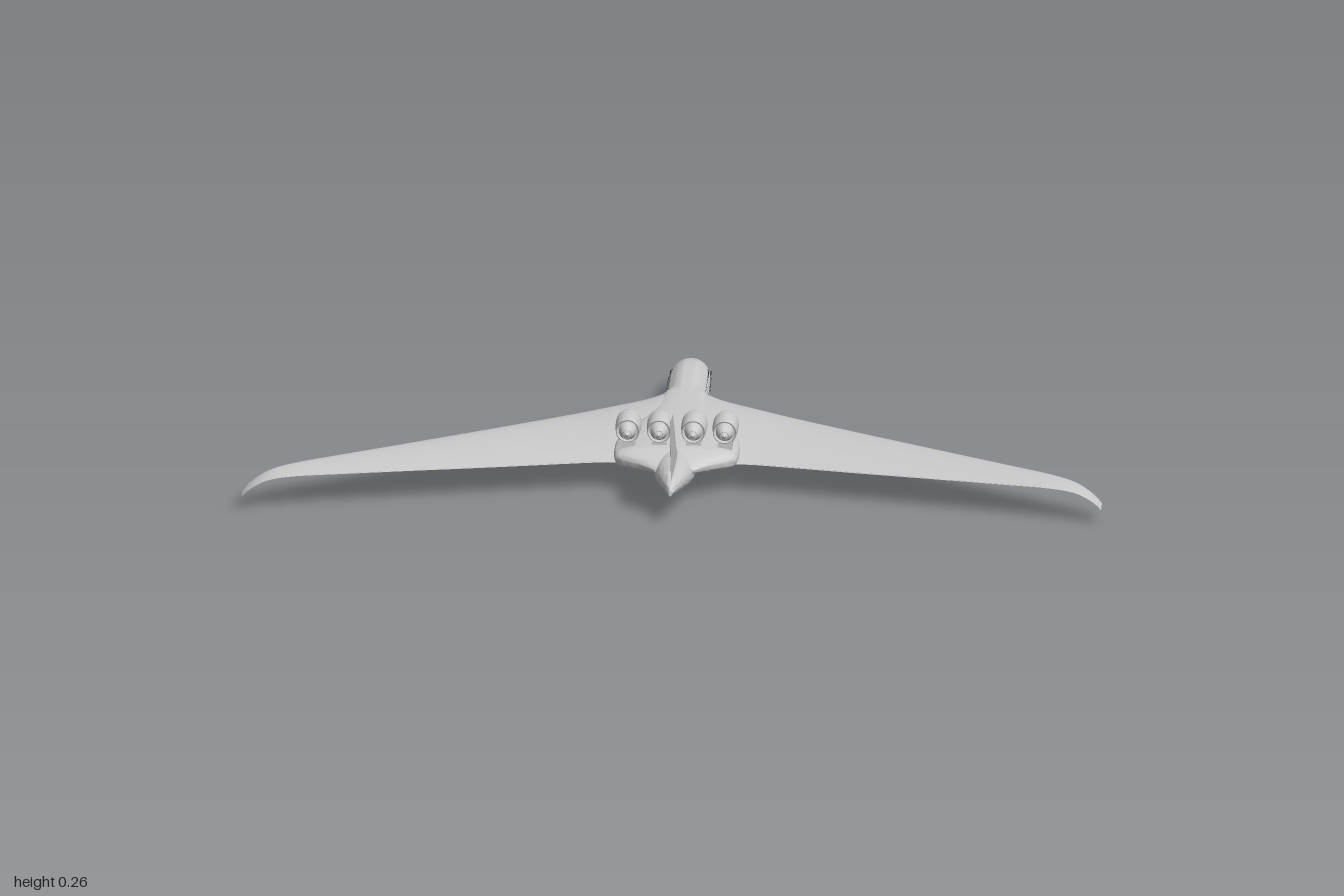
import * as THREE from 'three';
import { mergeGeometries, toCreasedNormals } from 'three/addons/utils/BufferGeometryUtils.js';

const grey = new THREE.MeshStandardMaterial({ color: 0xcccccc, side: THREE.DoubleSide });
const dark = new THREE.MeshStandardMaterial({ color: 0x222222, side: THREE.DoubleSide });

function part(name, geometry, material = grey) {
  const mesh = new THREE.Mesh(geometry, material);
  mesh.name = name;
  return mesh;
}

// Smoothly subdivide a table of stations (Catmull-Rom through every column)
function refine(table, n) {
  const out = [];
  const get = (i) => table[Math.max(0, Math.min(table.length - 1, i))];
  for (let i = 0; i < table.length - 1; i++) {
    for (let k = 0; k < n; k++) {
      const t = k / n;
      out.push(get(i).map((b, c) => {
        const a = get(i - 1)[c], d = get(i + 1)[c], e = get(i + 2)[c];
        return b + 0.5 * t * (d - a + t * (2 * a - 5 * b + 4 * d - e + t * (3 * (b - d) + e - a)));
      }));
    }
  }
  out.push(get(table.length - 1));
  return out;
}

// Skin closed rings of points, cap both ends and make the faces point outwards
function loft(rings, crease = 0.7) {
  const n = rings[0].length, pos = rings.flat(2), index = [];
  for (let i = 0; i < rings.length - 1; i++) {
    for (let j = 0; j < n; j++) {
      const a = i * n + j, b = i * n + (j + 1) % n;
      index.push(a, b, b + n, a, b + n, a + n);
    }
  }
  [0, rings.length - 1].forEach((r, end) => {
    const c = pos.length / 3;
    for (let k = 0; k < 3; k++) pos.push(rings[r].reduce((s, p) => s + p[k], 0) / n);
    for (let j = 0; j < n; j++) {
      const a = r * n + j, b = r * n + (j + 1) % n;
      index.push(...(end ? [a, b, c] : [b, a, c]));
    }
  });
  const v = (i) => new THREE.Vector3().fromArray(pos, index[i] * 3);
  let volume = 0;
  for (let i = 0; i < index.length; i += 3) volume += v(i).dot(v(i + 1).cross(v(i + 2)));
  if (volume < 0) index.reverse();
  const g = new THREE.BufferGeometry();
  g.setAttribute('position', new THREE.Float32BufferAttribute(pos, 3));
  g.setIndex(index);
  return toCreasedNormals(g, crease);
}

// Body from stations [z, half width, bottom, top] with superellipse sections
function body(table, power, segments = 36) {
  return loft(refine(table, 5).map(([z, w, y0, y1]) =>
    Array.from({ length: segments }, (_, i) => {
      const a = (i / segments) * Math.PI * 2, c = Math.cos(a), s = Math.sin(a);
      const x = Math.sign(c) * Math.abs(c) ** (2 / power);
      const y = Math.sign(s) * Math.abs(s) ** (2 / power);
      return [w * x, (y0 + y1) / 2 + ((y1 - y0) / 2) * y, z];
    })));
}

// Aerofoil outline as [chord fraction, offset], between chord fractions a and b
function aerofoil(thick, a = 0, b = 1, extra = 0, n = 14) {
  const half = (u) => extra + 5 * thick * (0.2969 * Math.sqrt(u) - 0.126 * u - 0.3516 * u * u
    + 0.2843 * u ** 3 - 0.1026 * u ** 4);
  const us = Array.from({ length: n + 1 }, (_, i) => a + (b - a) * (1 - Math.cos((i / n) * Math.PI)) / 2);
  const upper = us.map((u) => [u, half(u)]).reverse();
  const lower = us.slice(a === 0 ? 1 : 0).map((u) => [u, -half(u)]);
  return [...upper, ...lower];
}

// Wing stations: [x, leading z, trailing z, height, thickness]
const wingStations = refine([
  [0.03, -0.26, 0.27, 0.07, 0.056], [0.06, -0.212, 0.262, 0.07, 0.055],
  [0.1, -0.172, 0.258, 0.07, 0.052], [0.16, -0.134, 0.253, 0.07, 0.045],
  [0.25, -0.08, 0.268, 0.07, 0.034], [0.42, 0.028, 0.308, 0.072, 0.026],
  [0.6, 0.142, 0.35, 0.075, 0.018], [0.78, 0.256, 0.393, 0.078, 0.012],
  [0.88, 0.319, 0.417, 0.079, 0.009], [0.94, 0.357, 0.431, 0.073, 0.007],
  [0.98, 0.382, 0.44, 0.055, 0.005], [1, 0.397, 0.445, 0.038, 0.003],
], 4);

function wingPart(side, x0, x1, a, b, extra) {
  return loft(wingStations.filter((s) => s[0] >= x0 && s[0] <= x1).map(([x, le, te, y, t]) =>
    aerofoil(t, a, b, extra).map(([u, h]) => [side * x, y + h, le + (te - le) * u])));
}

// Fin stations: [height, leading z, trailing z, thickness]
function finPart(stations, a, b, extra) {
  return loft(stations.map(([y, le, te, t]) =>
    aerofoil(t, a, b, extra).map(([u, h]) => [h, y, le + (te - le) * u])));
}

function engine(name, x) {
  const g = new THREE.Group();
  g.name = name;
  g.position.set(x, 0.14, 0);
  const lathe = (pts) => new THREE.LatheGeometry(pts.map((p) => new THREE.Vector2(...p)), 28).rotateX(Math.PI / 2);
  // Hollow intake, outer cowl and rear lip
  g.add(part('nacelle', lathe([[0, 0.18], [0.024, 0.18], [0.0245, 0.163], [0.0265, 0.155], [0.028, 0.154],
    [0.029, 0.158], [0.03, 0.17], [0.03, 0.2], [0.0275, 0.231], [0.025, 0.231], [0.0225, 0.222], [0, 0.222]])));
  g.add(part('exhaustCone', lathe([[0.021, 0.22], [0.02, 0.233], [0.011, 0.257], [0.009, 0.255], [0, 0.262]])));
  g.add(part('spinner', lathe([[0, 0.163], [0.003, 0.166], [0.007, 0.18]])));
  const blades = Array.from({ length: 14 }, (_, i) =>
    new THREE.BoxGeometry(0.004, 0.018, 0.001).rotateY(0.6).translate(0, 0.014, 0.176)
      .rotateZ((i / 14) * Math.PI * 2));
  g.add(part('fanBlades', mergeGeometries(blades)));
  const pylon = part('pylon', new THREE.BoxGeometry(0.034, 0.022, 0.076));
  pylon.position.set(0, -0.037, 0.192);
  g.add(pylon);
  return g;
}

export function createModel() {
  const plane = new THREE.Group();
  plane.name = 'aircraft';

  plane.add(part('fuselage', body([
    [-0.499, 0.012, 0.032, 0.057], [-0.495, 0.023, 0.024, 0.066], [-0.48, 0.035, 0.015, 0.078],
    [-0.45, 0.044, 0.007, 0.089], [-0.4, 0.049, 0.002, 0.097], [-0.32, 0.05, 0, 0.1],
    [-0.1, 0.05, 0, 0.102], [0.05, 0.05, 0, 0.105], [0.165, 0.05, 0, 0.105],
    [0.25, 0.049, 0.016, 0.105], [0.33, 0.044, 0.033, 0.105], [0.4, 0.031, 0.05, 0.104],
    [0.46, 0.016, 0.064, 0.099], [0.5, 0.004, 0.073, 0.086],
  ], 2)));

  // Wide blended body that carries the engines
  plane.add(part('centreBody', body([
    [-0.26, 0.03, 0.055, 0.093], [-0.2, 0.054, 0.043, 0.099], [-0.1, 0.072, 0.04, 0.102],
    [0, 0.102, 0.04, 0.104], [0.12, 0.142, 0.04, 0.107], [0.235, 0.144, 0.048, 0.107],
    [0.265, 0.128, 0.053, 0.103], [0.3, 0.08, 0.061, 0.096], [0.335, 0.045, 0.069, 0.088],
  ], 2.8)));

  for (const side of [1, -1]) {
    const label = side > 0 ? 'left' : 'right';
    plane.add(part(`${label}Wing`, wingPart(side, 0, 1, 0, 1, 0)));
    plane.add(part(`${label}Flap`, wingPart(side, 0.178, 0.6, 0.83, 0.99, 0.0006)));
    plane.add(part(`${label}Aileron`, wingPart(side, 0.61, 0.87, 0.8, 0.99, 0.0006)));
  }

  // Fin with a short curved fillet at its root
  const fin = [[0.09, 0.22, 0.468, 0.012], [0.106, 0.245, 0.47, 0.012], [0.114, 0.268, 0.472, 0.011],
    [0.128, 0.288, 0.475, 0.011], [0.257, 0.42, 0.5, 0.006]];
  plane.add(part('fin', finPart(fin, 0, 1, 0)));
  plane.add(part('rudder', finPart([[0.132, 0.292, 0.476, 0.011], [0.247, 0.41, 0.498, 0.006]], 0.73, 0.98, 0.0006)));

  [-0.113, -0.04, 0.04, 0.113].forEach((x, i) => plane.add(engine(`engine${i + 1}`, x)));

  // Three rows of cabin windows on each side
  const panes = [];
  for (const [y, z0, z1] of [[0.073, -0.41, -0.25], [0.056, -0.45, -0.25], [0.038, -0.42, -0.2]]) {
    for (let z = z0; z <= z1; z += 0.0125) {
      const w = z < -0.4 ? 0.0475 : 0.0495;
      const x = w * Math.sqrt(1 - ((y - 0.05) / 0.05) ** 2);
      for (const s of [1, -1]) panes.push(new THREE.BoxGeometry(0.002, 0.003, 0.003).translate(s * x, y, z));
    }
  }
  plane.add(part('cabinWindows', mergeGeometries(panes), dark));

  // Glazing wrapped round the blunt nose
  plane.add(part('cockpitGlazing', body([
    [-0.5, 0.013, 0.034, 0.058], [-0.496, 0.0235, 0.029, 0.066], [-0.491, 0.0285, 0.027, 0.071],
  ], 2), dark));
  return plane;
}
